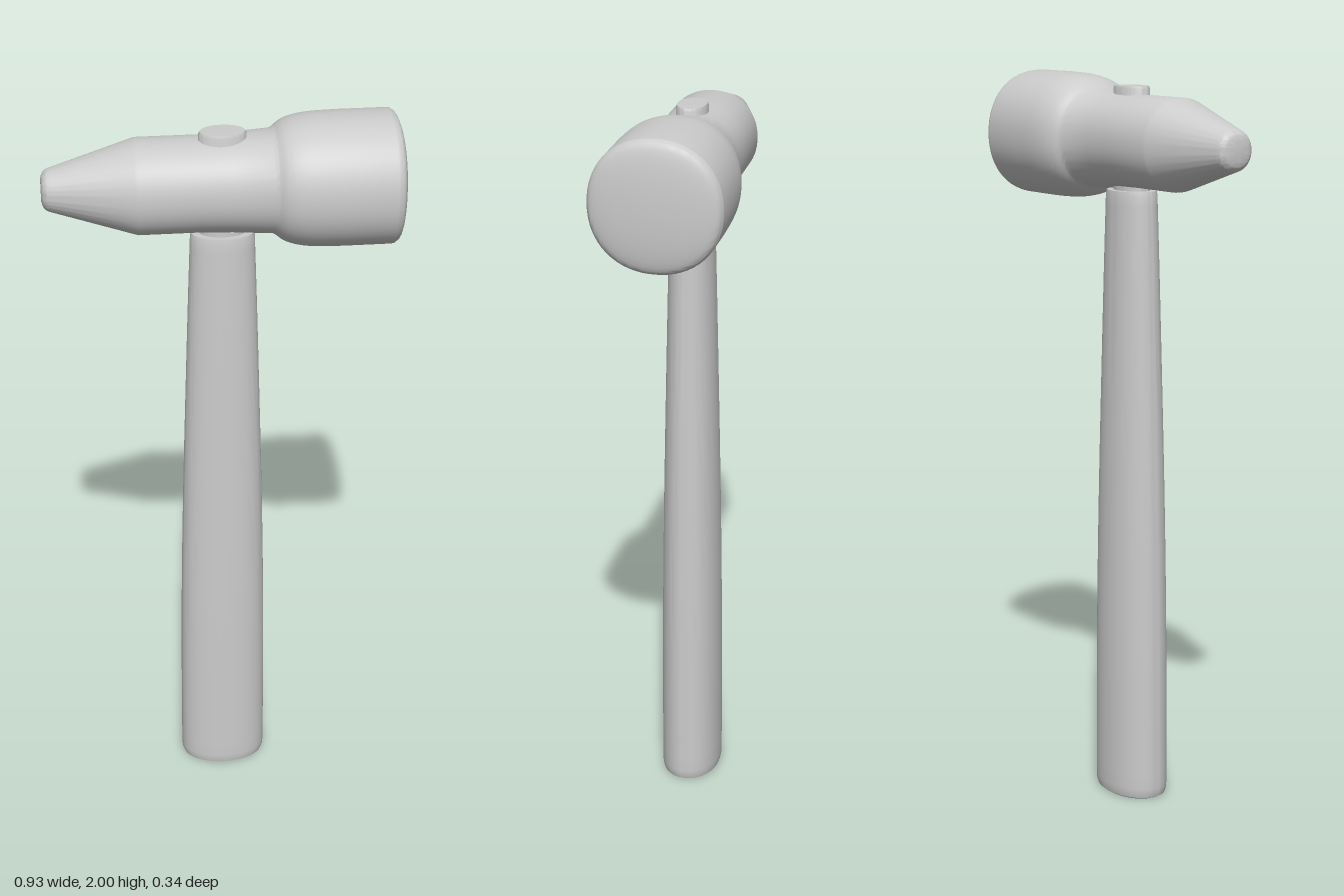
import * as THREE from 'three';
import { toCreasedNormals } from 'three/addons/utils/BufferGeometryUtils.js';

const material = new THREE.MeshStandardMaterial({ color: 0xcccccc });
const SIDES = 64;

// Revolve [radius, height] pairs, then square the section slightly and flatten it in depth
function turned(name, profile, depth = 1, power = 2) {
  const points = profile.map(([r, h]) => new THREE.Vector2(r, h));
  const geometry = new THREE.LatheGeometry(points, SIDES);
  const pos = geometry.attributes.position;
  for (let i = 0; i < pos.count; i++) {
    const x = pos.getX(i), z = pos.getZ(i), r = Math.hypot(x, z);
    if (r < 1e-6) continue;
    const c = Math.abs(x / r), s = Math.abs(z / r);
    const k = 1 / Math.pow(Math.pow(c, power) + Math.pow(s, power), 1 / power);
    pos.setX(i, x * k);
    pos.setZ(i, z * k * depth);
  }
  const mesh = new THREE.Mesh(toCreasedNormals(geometry, 0.6), material);
  mesh.name = name;
  return mesh;
}

// Smooth run of profile points through a few guides
function smooth(guides, count) {
  const curve = new THREE.SplineCurve(guides.map(([r, h]) => new THREE.Vector2(r, h)));
  return curve.getPoints(count).map((p) => [p.x, p.y]);
}

export function createModel() {
  const group = new THREE.Group();
  group.name = 'hammer';

  // Head: blunt nose, cone, barrel, flared striking end with a gently domed face
  const dome = [];
  for (let i = 1; i <= 10; i++) {
    const a = (i / 10) * Math.PI / 2;
    dome.push([0.166 * Math.cos(a), 0.437 + 0.026 * Math.sin(a)]);
  }
  const head = turned('head', [
    [0, -0.463],
    ...smooth([[0.028, -0.463], [0.042, -0.459], [0.051, -0.451], [0.056, -0.438]], 8),
    [0.119, -0.232], [0.122, -0.222],
    [0.122, -0.06], [0.125, 0.02], [0.132, 0.122],
    ...smooth([[0.136, 0.13], [0.152, 0.152], [0.163, 0.185], [0.169, 0.23], [0.171, 0.3]], 16),
    [0.171, 0.425], [0.17, 0.432], [0.166, 0.437],
    ...dome,
  ], 1, 2.15);
  head.rotation.z = -Math.PI / 2;
  head.position.y = 1.829;
  group.add(head);

  // Handle: flattened oval, tapering towards the head
  const handle = turned('handle', [
    [0, 0], [0.108, 0], [0.115, 0.004], [0.119, 0.016],
    ...smooth([[0.12, 0.03], [0.118, 0.45], [0.11, 0.87], [0.094, 1.4], [0.084, 1.685]], 24),
    [0.081, 1.697], [0, 1.697],
  ], 0.69, 2.1);

  // Tenon: passes through the head and shows above it
  const tenon = turned('tenon', [
    [0, 1.68], [0.061, 1.68], [0.061, 1.966], [0.057, 1.973], [0, 1.974],
  ], 0.67);

  for (const part of [handle, tenon]) {
    part.position.set(-0.002, 0, 0.006);
    group.add(part);
  }
  return group;
}
